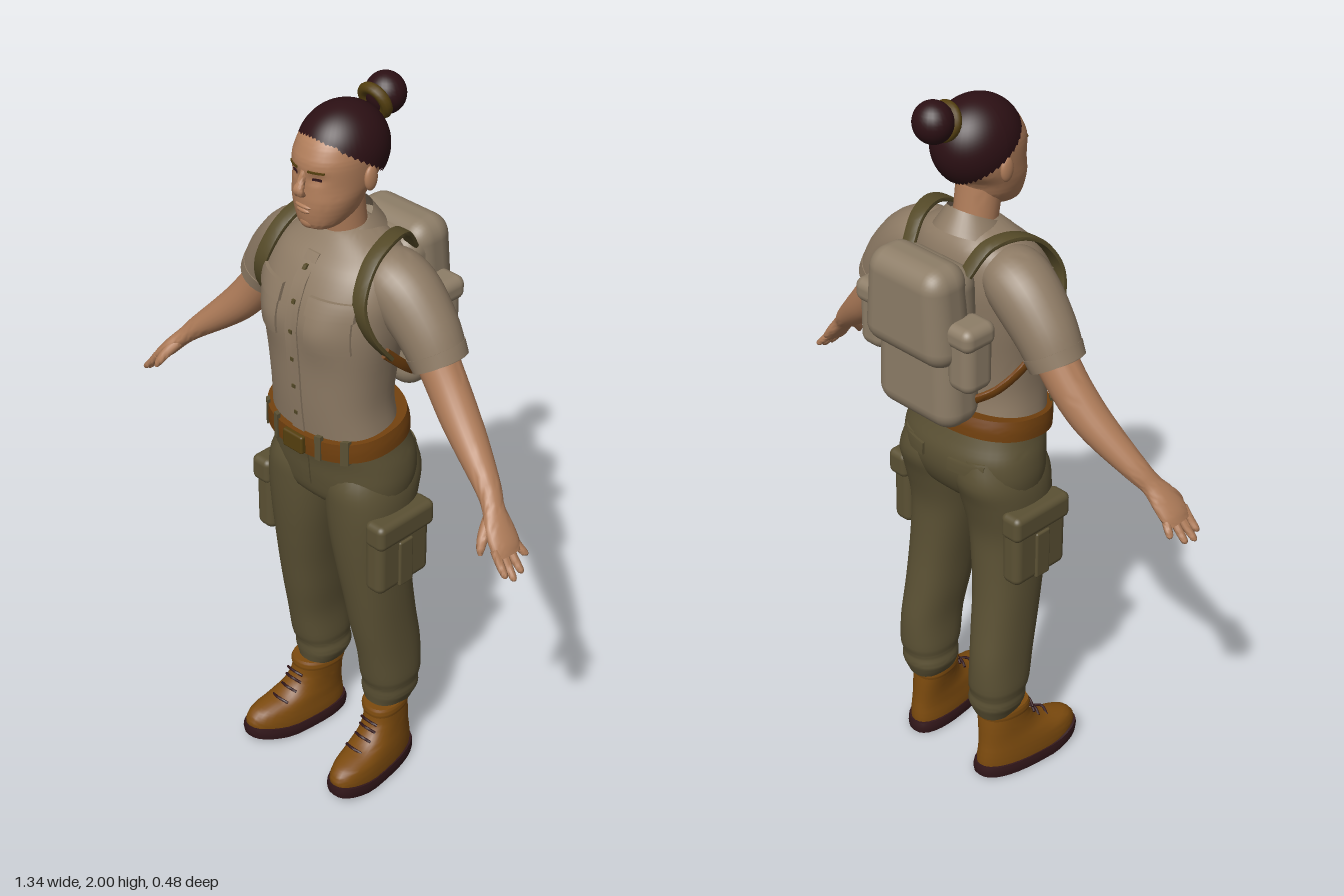
import * as THREE from 'three';
import { toCreasedNormals, mergeVertices } from 'three/addons/utils/BufferGeometryUtils.js';
import { RoundedBoxGeometry } from 'three/addons/geometries/RoundedBoxGeometry.js';

const colours = {
  skin: 0xb07d5a, hair: 0x2c1014, shirt: 0x8e7b65, trousers: 0x5b5134, boot: 0x7d4b0e,
  sole: 0x32171a, belt: 0x71400e, strap: 0x554a28, pack: 0x8e7e68, hairTie: 0x55400f,
};
const M = {};
for (const [name, color] of Object.entries(colours)) {
  M[name] = new THREE.MeshStandardMaterial({ color });
  M[name].name = name;
}
M.shirt.side = M.hair.side = THREE.DoubleSide;

// Smoothly resample rows of numbers (Catmull-Rom on every column)
function dense(rows, k = 4) {
  const out = [], n = rows.length - 1;
  for (let i = 0; i < n; i++) for (let s = 0; s < k; s++) {
    const t = s / k, [a, b, c, d] = [-1, 0, 1, 2].map(o => rows[Math.min(n, Math.max(0, i + o))]);
    out.push(b.map((p, j) => {
      const cubic = 3 * (p - c[j]) + d[j] - a[j];
      const square = 2 * a[j] - 5 * p + 4 * c[j] - d[j];
      return p + 0.5 * t * (c[j] - a[j] + t * (square + t * cubic));
    }));
  }
  out.push(rows[n]);
  return out;
}

// Skin a list of closed rings and cap both ends
function loft(rings) {
  const pos = [], idx = [], n = rings[0].length, last = rings.length - 1;
  rings.forEach(r => r.forEach(p => pos.push(p.x, p.y, p.z)));
  for (let i = 0; i < last; i++) for (let j = 0; j < n; j++) {
    const a = i * n + j, b = i * n + (j + 1) % n;
    idx.push(a, a + n, b, b, a + n, b + n);
  }
  for (const e of [0, last]) {
    const c = rings[e].reduce((s, p) => s.add(p), new THREE.Vector3()).divideScalar(n);
    const m = pos.length / 3;
    pos.push(c.x, c.y, c.z);
    for (let j = 0; j < n; j++) {
      const a = e * n + j, b = e * n + (j + 1) % n;
      idx.push(...(e ? [a, m, b] : [a, b, m]));
    }
  }
  const g = new THREE.BufferGeometry();
  g.setAttribute('position', new THREE.Float32BufferAttribute(pos, 3));
  g.setIndex(idx);
  return toCreasedNormals(g, 0.9);
}

const spow = (v, e) => Math.sign(v) * Math.abs(v) ** e;
const sym = rows => rows.map(([y, w, zb, zf]) => [y, -w, w, zb, zf]);

// Horizontal superellipse slices: [y, x0, x1, zBack, zFront]
function stack(rows, { n = 2.3, seg = 32, k = 4, warp } = {}) {
  return loft(dense(rows, k).map(([y, x0, x1, zb, zf]) => Array.from({ length: seg }, (_, j) => {
    const a = j / seg * Math.PI * 2;
    const p = new THREE.Vector3((x0 + x1) / 2 + (x1 - x0) / 2 * spow(Math.cos(a), 2 / n), y,
      (zb + zf) / 2 + (zf - zb) / 2 * spow(Math.sin(a), 2 / n));
    if (warp) warp(p);
    return p;
  })));
}

// Tapered limb: [x, y, z, radius along ref, radius across]
function limb(rows, ref = [0, 0, 1], seg = 16, k = 4, n = 2) {
  const d = dense(rows, k), P = d.map(r => new THREE.Vector3(r[0], r[1], r[2]));
  return loft(d.map((r, i) => {
    const T = P[Math.min(i + 1, P.length - 1)].clone().sub(P[Math.max(i - 1, 0)]).normalize();
    const U = new THREE.Vector3(...ref);
    U.addScaledVector(T, -U.dot(T)).normalize();
    const V = U.clone().cross(T);
    return Array.from({ length: seg }, (_, j) => {
      const a = j / seg * Math.PI * 2;
      return P[i].clone().addScaledVector(U, r[3] * spow(Math.cos(a), 2 / n)).addScaledVector(V, r[4] * spow(Math.sin(a), 2 / n));
    });
  }));
}

// Depth of a sliced body at (x, y); side +1 front, -1 back
function depth(rows, x, y, side, n = 2.3) {
  const d = dense(rows);
  let i = 0;
  while (i < d.length - 2 && d[i + 1][0] < y) i++;
  const t = (y - d[i][0]) / (d[i + 1][0] - d[i][0]);
  const [, , w, zb, zf] = d[i].map((v, j) => v + (d[i + 1][j] - v) * t);
  const q = Math.max(0, 1 - Math.min(1, Math.abs(x) / w) ** n) ** (1 / n);
  return (zb + zf) / 2 + side * (zf - zb) / 2 * q;
}

// Thin plate that follows a surface z = f(x, y)
function drape(x0, x1, y0, y1, t, f) {
  const g = new THREE.BoxGeometry(x1 - x0, y1 - y0, t, 8, 8, 1).translate((x0 + x1) / 2, (y0 + y1) / 2, 0);
  const p = g.attributes.position;
  for (let i = 0; i < p.count; i++) p.setZ(i, p.getZ(i) + f(p.getX(i), p.getY(i)));
  g.computeVertexNormals();
  return g;
}

const ball = (x, y, z, rx, ry, rz) => new THREE.SphereGeometry(1, 24, 16).scale(rx, ry, rz).translate(x, y, z);
const rbox = (x, y, z, w, h, d, r) => new RoundedBoxGeometry(w, h, d, 4, r).translate(x, y, z);

function mirror(geo) {
  const g = (geo.index ? geo.clone() : mergeVertices(geo)).scale(-1, 1, 1), a = g.index.array;
  for (let i = 0; i < a.length; i += 3) [a[i], a[i + 1]] = [a[i + 1], a[i]];
  return g;
}

export function createModel() {
  const root = new THREE.Group();
  root.name = 'hiker';
  const add = (name, geo, mat) => {
    const m = new THREE.Mesh(geo, mat);
    m.name = name;
    root.add(m);
  };
  const pair = (name, geo, mat) => {
    add(name + 'Left', geo, mat);
    add(name + 'Right', mirror(geo), mat);
  };

  // Head and face
  const head = sym([[1.68, .03, .07, .135], [1.69, .05, .05, .156], [1.72, .07, .005, .164], [1.76, .084, -.015, .166],
    [1.8, .091, -.055, .163], [1.85, .094, -.07, .164], [1.88, .091, -.07, .154], [1.91, .082, -.06, .134],
    [1.94, .06, -.035, .09], [1.955, .03, 0, .06]]);
  const socket = (x, y) => -.009 * Math.exp(-(((Math.abs(x) - .036) / .018) ** 2) - ((y - 1.822) / .012) ** 2);
  const faceZ = (x, y) => depth(head, x, y, 1, 2.2) + socket(x, y);
  add('head', stack(head, { n: 2.2, seg: 48, k: 6, warp: p => { if (p.z > .06) p.z += socket(p.x, p.y); } }), M.skin);
  add('nose', limb([[0, 1.838, .158, .008, .008], [0, 1.81, .169, .01, .01], [0, 1.79, .178, .016, .012], [0, 1.777, .166, .012, .006]], [1, 0, 0]), M.skin);
  add('upperLip', ball(0, 1.747, .162, .026, .006, .009), M.skin);
  add('lowerLip', ball(0, 1.735, .161, .022, .007, .009), M.skin);
  add('chin', ball(0, 1.702, .147, .026, .018, .016), M.skin);
  pair('eye', drape(.026, .047, 1.819, 1.825, .007, faceZ), M.sole);
  pair('brow', drape(.018, .056, 1.84, 1.845, .007, faceZ), M.hairTie);
  pair('ear', ball(.097, 1.808, .035, .011, .032, .02), M.skin);
  add('neck', limb([[0, 1.56, .015, .06, .058], [0, 1.64, .025, .057, .056], [0, 1.74, .04, .058, .058]], [1, 0, 0], 24), M.skin);

  // Hair cap whose lower edge drops from the forehead to the nape
  const hair = new THREE.SphereGeometry(1, 48, 24), hp = hair.attributes.position, uv = hair.attributes.uv;
  for (let i = 0; i < hp.count; i++) {
    const az = uv.getX(i) * Math.PI * 2, th = (1 - uv.getY(i)) * (1.75 - .7 * Math.sin(az));
    hp.setXYZ(i, -Math.cos(az) * Math.sin(th) * .104, 1.855 + Math.cos(th) * .115, .03 + Math.sin(az) * Math.sin(th) * .122);
  }
  hair.computeVertexNormals();
  add('hair', hair, M.hair);
  add('bun', ball(0, 1.946, -.112, .052, .053, .05), M.hair);
  add('hairTie', new THREE.TorusGeometry(.036, .015, 10, 28).rotateX(.35).translate(0, 1.937, -.076), M.hairTie);

  // Shirt
  const torso = sym([[1.1, .18, -.07, .183], [1.2, .168, -.056, .194], [1.3, .175, -.065, .2], [1.4, .19, -.08, .203],
    [1.46, .195, -.088, .201], [1.52, .195, -.092, .187], [1.58, .175, -.088, .155], [1.62, .14, -.075, .115], [1.65, .085, -.05, .085], [1.665, .05, -.03, .06]]);
  const bust = (x, y) => .014 * Math.exp(-(((Math.abs(x) - .08) / .06) ** 2) - ((y - 1.43) / .07) ** 2);
  const chestZ = (x, y) => depth(torso, x, y, 1) + bust(x, y);
  add('shirt', stack(torso, { seg: 56, warp: p => { if (p.z > .07) p.z += bust(p.x, p.y); } }), M.shirt);
  add('placket', drape(-.02, .02, 1.12, 1.61, .01, chestZ), M.shirt);
  pair('chestPocket', drape(.05, .155, 1.395, 1.49, .012, chestZ), M.shirt);
  pair('chestPocketFlap', drape(.045, .16, 1.485, 1.53, .02, chestZ), M.shirt);
  for (let i = 0; i < 6; i++) add('button' + (i + 1), drape(-.005, .005, 1.175 + i * .08, 1.185 + i * .08, .016, chestZ), M.strap);
  const collar = new THREE.PlaneGeometry(1, 1, 40, 4), cp = collar.attributes.position;
  for (let i = 0; i < cp.count; i++) {
    const a = cp.getX(i) * 2 * (Math.PI - .22), v = .5 - cp.getY(i), f = (1 - Math.cos(a)) / 2;
    cp.setXYZ(i, Math.sin(a) * (.064 + .036 * v), 1.7 - .065 * f - v * (.05 + .012 * f), .022 - Math.cos(a) * (.068 + .036 * v) + .012 * f * v);
  }
  collar.computeVertexNormals();
  add('collar', collar, M.shirt);
  pair('sleeve', limb([[.11, 1.56, .01, .075, .065], [.15, 1.55, .01, .088, .08], [.2, 1.515, .006, .088, .086], [.26, 1.45, .004, .08, .08],
    [.295, 1.395, .004, .073, .072], [.303, 1.38, .004, .07, .068]], undefined, 28), M.shirt);
  pair('sleeveCuff', limb([[.288, 1.406, .004, .077, .076], [.306, 1.376, .004, .073, .071]], undefined, 28, 2), M.shirt);

  // Arms and hands
  pair('arm', limb([[.27, 1.42, .005, .055, .055], [.33, 1.335, .01, .052, .053], [.385, 1.268, .02, .05, .05], [.44, 1.215, .034, .045, .043],
    [.52, 1.145, .06, .034, .03], [.555, 1.11, .077, .03, .023], [.585, 1.078, .09, .042, .021], [.615, 1.043, .098, .045, .018], [.632, 1.022, .1, .038, .011]], undefined, 24), M.skin);
  [.055, .09, .12, .14].forEach((z, i) => {
    const l = [.024, .042, .046, .036][i], b = .068 + i * .022;
    pair('finger' + (i + 1), limb([[.613, 1.045, b, .011, .011], [.613 + l * .6, 1.045 - l * .8, (b + z) / 2, .011, .01],
      [.618 + l, 1.04 - l * 1.25, z, .009, .008], [.621 + l, 1.036 - l * 1.3, z, .004, .004]], undefined, 10), M.skin);
  });
  pair('thumb', limb([[.562, 1.095, .1, .016, .014], [.575, 1.07, .132, .015, .013], [.585, 1.045, .152, .011, .01], [.59, 1.03, .158, .005, .005]], [1, 0, 0], 10), M.skin);

  // Trousers
  const pelvis = sym([[.88, .13, -.04, .11], [.91, .19, -.083, .15], [.97, .207, -.11, .163], [1.03, .204, -.113, .168], [1.08, .192, -.097, .178], [1.13, .182, -.08, .184]]);
  const seatZ = (x, y) => depth(pelvis, x, y, -1);
  const flyZ = (x, y) => depth(pelvis, x, y, 1);
  add('trouserSeat', stack(pelvis, { seg: 48 }), M.trousers);
  pair('trouserLeg', stack([[.205, .078, .182, -.08, .055], [.225, .068, .19, -.088, .058], [.25, .06, .2, -.096, .062], [.28, .066, .2, -.094, .064], [.31, .063, .205, -.101, .074],
    [.4, .066, .202, -.1, .09], [.5, .055, .2, -.086, .11], [.6, .045, .2, -.073, .126], [.7, .03, .2, -.066, .141],
    [.8, .014, .204, -.066, .153], [.9, .001, .209, -.09, .16], [.97, .003, .2, -.112, .158], [1.04, .03, .17, -.1, .13]]), M.trousers);
  add('fly', drape(-.014, .014, .95, 1.07, .008, flyZ), M.trousers);
  pair('seatPocketFlap', drape(.045, .145, 1.0, 1.035, .014, seatZ), M.trousers);
  pair('cargoPocket', rbox(.203, .775, .04, .062, .19, .185, .022), M.trousers);
  pair('cargoFlap', rbox(.21, .865, .038, .066, .075, .2, .018), M.trousers);
  pair('cargoPleat', rbox(.232, .755, .04, .016, .14, .05, .006), M.trousers);

  // Belt, a little higher at the back
  add('belt', stack(sym([[1.09, .196, -.102, .2], [1.118, .195, -.1, .202], [1.145, .19, -.092, .202]]),
    { seg: 56, warp: p => { p.y -= .13 * (p.z - .05); } }), M.belt);
  add('buckle', rbox(0, 1.098, .205, .07, .052, .018, .006), M.hairTie);
  [.075, .14].forEach((x, i) => pair(['inner', 'outer'][i] + 'BeltLoop',
    drape(x - .008, x + .008, 1.07, 1.14, .012, u => flyZ(u, 1.11) + .018), M.trousers));

  // Boots
  const splay = p => { p.x += .12 * (p.z - .02); p.y += .22 * Math.max(0, p.z - .14); };
  pair('boot', stack([[.025, .083, .203, -.08, .238], [.05, .083, .204, -.08, .238], [.078, .086, .202, -.077, .218], [.1, .088, .198, -.074, .175],
    [.125, .09, .193, -.072, .118], [.16, .088, .19, -.07, .084], [.2, .083, .188, -.066, .074], [.215, .085, .186, -.063, .07]], { warp: splay }), M.boot);
  pair('bootCollar', stack([[.19, .08, .191, -.069, .077], [.205, .077, .193, -.071, .079], [.218, .082, .189, -.067, .074]], { warp: splay }), M.boot);
  pair('sole', stack([[0, .079, .207, -.086, .242], [.018, .077, .209, -.088, .245], [.034, .08, .207, -.085, .243]], { n: 2.5, k: 2, warp: splay }), M.sole);
  [[.115, .142], [.135, .108], [.158, .09], [.18, .084]].forEach(([y, z], i) => pair('lace' + (i + 1),
    limb([[.118, y - .006, z - .004, .004, .004], [.147, y + .004, z + .006, .004, .004], [.176, y - .006, z - .004, .004, .004]], undefined, 8), M.sole));

  // Backpack, narrowing slightly towards the top
  const taper = g => {
    const p = g.attributes.position;
    for (let i = 0; i < p.count; i++) p.setX(i, p.getX(i) * (1 - .7 * Math.max(0, p.getY(i) - 1.4)));
    return g;
  };
  add('packBody', taper(rbox(0, 1.385, -.135, .275, .435, .135, .055)), M.pack);
  add('packLid', taper(rbox(0, 1.49, -.17, .29, .265, .135, .055)), M.pack);
  pair('packSidePocket', rbox(.155, 1.395, -.145, .085, .18, .095, .03), M.pack);
  pair('packSidePocketFlap', rbox(.158, 1.46, -.148, .09, .065, .105, .025), M.pack);
  pair('shoulderStrap', limb([[.1, 1.58, -.105, .02, .007], [.118, 1.64, -.055, .021, .007], [.14, 1.652, .02, .022, .007], [.152, 1.615, .095, .022, .007],
    [.168, 1.535, .143, .021, .007], [.188, 1.45, .128, .018, .007], [.199, 1.37, .07, .014, .006]], [1, 0, 0], 12, 5, 4), M.strap);
  pair('lowerStrap', limb([[.198, 1.39, .085, .006, .014], [.193, 1.32, .01, .006, .013], [.165, 1.265, -.06, .006, .013], [.12, 1.235, -.11, .006, .013]], [1, 0, 0], 12, 5, 4), M.belt);
  return root;
}
